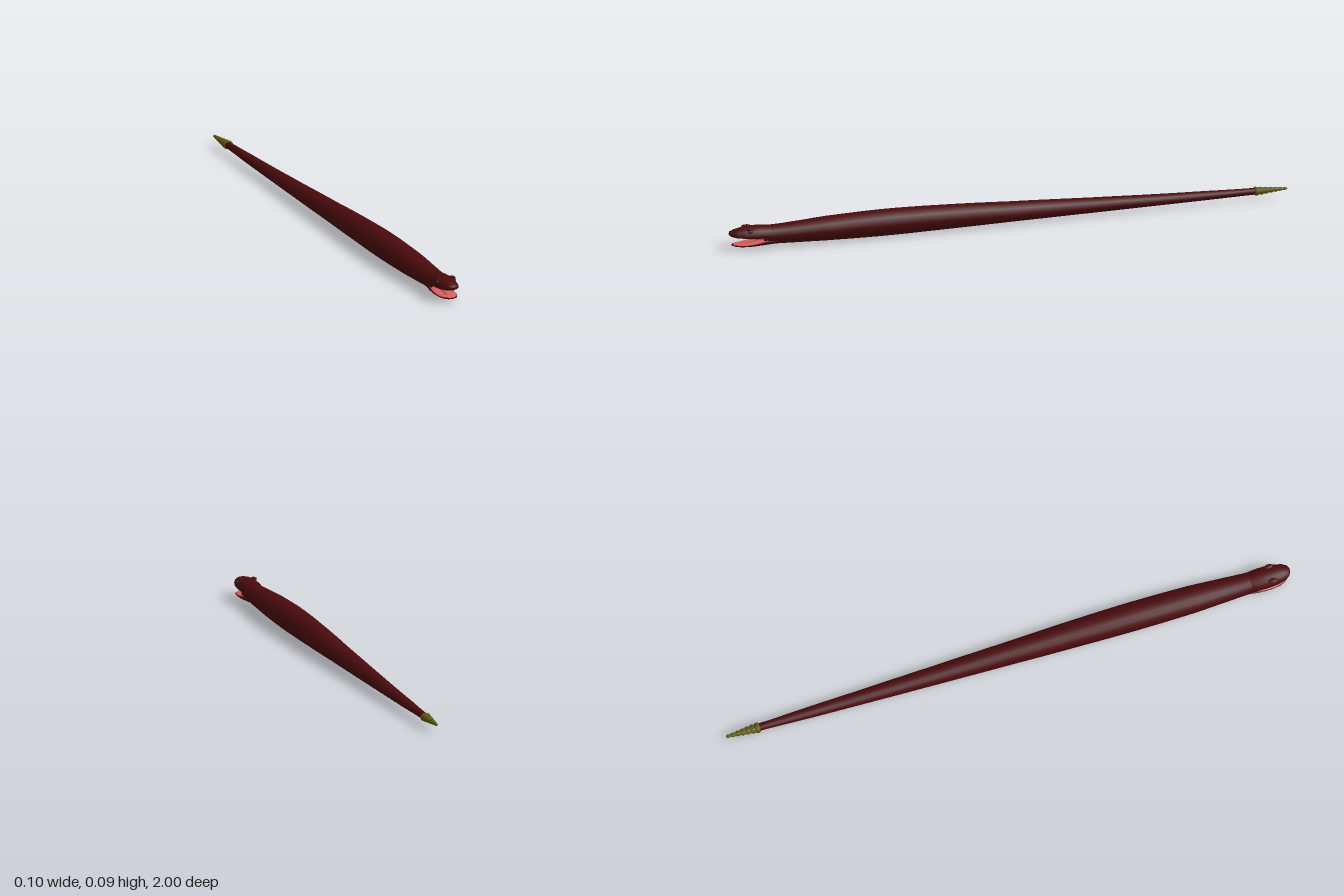
import * as THREE from 'three';

const SIDES = 20;
const mat = (color) => new THREE.MeshStandardMaterial({ color });
const skin = mat(0x4a0b0d), pink = mat(0xd86060), olive = mat(0x5c5a0e), dark = mat(0x2c3434);

// Loft along z through stations [z, halfWidth, bottom, widest level, top]
function loft(stations, steps = 1) {
  const pos = [], index = [], rows = [];
  const mix = (a, b, c, d, t) => THREE.MathUtils.clamp(
    b + 0.5 * t * (c - a + t * (2 * a - 5 * b + 4 * c - d + t * (3 * (b - c) + d - a))),
    Math.min(b, c), Math.max(b, c));
  const at = (i) => stations[THREE.MathUtils.clamp(i, 0, stations.length - 1)];
  for (let i = 0; i < stations.length - 1; i++)
    for (let s = 0; s < steps; s++) {
      const t = s / steps;
      rows.push(at(i).map((v, k) => k === 0
        ? THREE.MathUtils.lerp(v, at(i + 1)[0], t)
        : mix(at(i - 1)[k], v, at(i + 1)[k], at(i + 2)[k], t)));
    }
  rows.push(at(stations.length - 1));
  rows.forEach(([z, w, lo, mid, hi]) => {
    for (let j = 0; j < SIDES; j++) {
      const a = j / SIDES * Math.PI * 2, s = Math.sin(a);
      pos.push(w * Math.cos(a), mid + s * (s > 0 ? hi - mid : mid - lo), z);
    }
  });
  const last = rows.length - 1;
  for (let i = 0; i < last; i++)
    for (let j = 0; j < SIDES; j++) {
      const k = (j + 1) % SIDES, a = i * SIDES, b = a + SIDES;
      index.push(a + j, a + k, b + j, a + k, b + k, b + j);
    }
  // End caps
  [[0, 1], [last, 0]].forEach(([i, back]) => {
    const c = pos.length / 3, r = i * SIDES;
    pos.push(0, rows[i][3], rows[i][0]);
    for (let j = 0; j < SIDES; j++) {
      const k = (j + 1) % SIDES;
      index.push(c, r + (back ? k : j), r + (back ? j : k));
    }
  });
  const g = new THREE.BufferGeometry();
  g.setAttribute('position', new THREE.Float32BufferAttribute(pos, 3));
  g.setIndex(index);
  g.computeVertexNormals();
  return g;
}

export function createModel() {
  const model = new THREE.Group();
  const add = (name, geometry, material) => {
    const m = new THREE.Mesh(geometry, material);
    m.name = name;
    model.add(m);
    return m;
  };

  // Long tapering body
  add('body', loft([
    [-0.91, 0.012, 0.018, 0.029, 0.040],
    [-0.70, 0.020, 0.015, 0.029, 0.046],
    [-0.40, 0.029, 0.011, 0.032, 0.057],
    [0.00, 0.040, 0.006, 0.038, 0.075],
    [0.25, 0.047, 0.002, 0.044, 0.086],
    [0.45, 0.050, 0.000, 0.046, 0.090],
    [0.65, 0.048, 0.003, 0.045, 0.085],
    [0.78, 0.041, 0.007, 0.043, 0.077],
    [0.85, 0.037, 0.009, 0.042, 0.074],
    [0.885, 0.036, 0.010, 0.042, 0.073],
  ], 4), skin);

  // Upper head with blunt snout
  add('upperHead', loft([
    [0.83, 0.030, 0.030, 0.044, 0.070],
    [0.87, 0.037, 0.030, 0.045, 0.075],
    [0.91, 0.039, 0.034, 0.046, 0.078],
    [0.95, 0.036, 0.038, 0.047, 0.076],
    [0.98, 0.028, 0.042, 0.050, 0.070],
    [0.994, 0.018, 0.046, 0.054, 0.064],
    [1.00, 0.006, 0.051, 0.055, 0.059],
  ], 3), skin);

  // Lower jaw
  add('lowerJaw', loft([
    [0.84, 0.032, 0.010, 0.024, 0.034],
    [0.88, 0.037, 0.009, 0.022, 0.028],
    [0.92, 0.037, 0.008, 0.018, 0.021],
    [0.96, 0.031, 0.009, 0.016, 0.018],
    [0.98, 0.021, 0.011, 0.016, 0.018],
    [0.99, 0.007, 0.014, 0.016, 0.017],
  ], 3), skin);

  // Pink floor of the mouth and palate
  add('mouthFloor', loft([
    [0.87, 0.033, 0.018, 0.029, 0.038],
    [0.90, 0.035, 0.017, 0.023, 0.029],
    [0.94, 0.033, 0.015, 0.018, 0.022],
    [0.97, 0.024, 0.015, 0.017, 0.020],
    [0.985, 0.010, 0.015, 0.017, 0.018],
  ], 3), pink);
  add('palate', loft([
    [0.87, 0.030, 0.028, 0.038, 0.044],
    [0.91, 0.032, 0.032, 0.040, 0.046],
    [0.95, 0.028, 0.037, 0.043, 0.048],
    [0.98, 0.016, 0.042, 0.046, 0.050],
  ], 2), pink);
  const tongue = add('tongue', new THREE.SphereGeometry(1, 14, 8), pink);
  tongue.scale.set(0.011, 0.006, 0.045);
  tongue.position.set(0, 0.027, 0.92);
  tongue.rotation.x = 0.2;

  // Eyes, brows and nostrils
  for (const side of [-1, 1]) {
    const name = side > 0 ? 'left' : 'right';
    const eye = add(name + 'Eye', new THREE.SphereGeometry(1, 12, 8), dark);
    eye.scale.set(0.005, 0.007, 0.009);
    eye.position.set(side * 0.031, 0.064, 0.935);
    const brow = add(name + 'Brow', new THREE.SphereGeometry(1, 12, 8), skin);
    brow.scale.set(0.009, 0.004, 0.016);
    brow.position.set(side * 0.026, 0.072, 0.932);
    const nostril = add(name + 'Nostril', new THREE.SphereGeometry(0.0025, 8, 6), dark);
    nostril.position.set(side * 0.015, 0.059, 0.993);
  }

  // Segmented tail rattle
  const profile = [new THREE.Vector2(0, 0)];
  const rings = 7, length = 0.12;
  for (let i = 0; i < rings; i++) {
    const r = 0.019 * (1 - i / rings * 0.8), y = i / rings * length, h = length / rings;
    profile.push(new THREE.Vector2(r * 0.8, y), new THREE.Vector2(r, y + h * 0.35),
      new THREE.Vector2(r * 0.92, y + h * 0.75));
  }
  profile.push(new THREE.Vector2(0, length));
  const rattle = add('rattle', new THREE.LatheGeometry(profile, 14), olive);
  rattle.rotation.x = -Math.PI / 2;
  rattle.scale.z = 0.8;
  rattle.position.set(0, 0.029, -0.88);
  return model;
}
